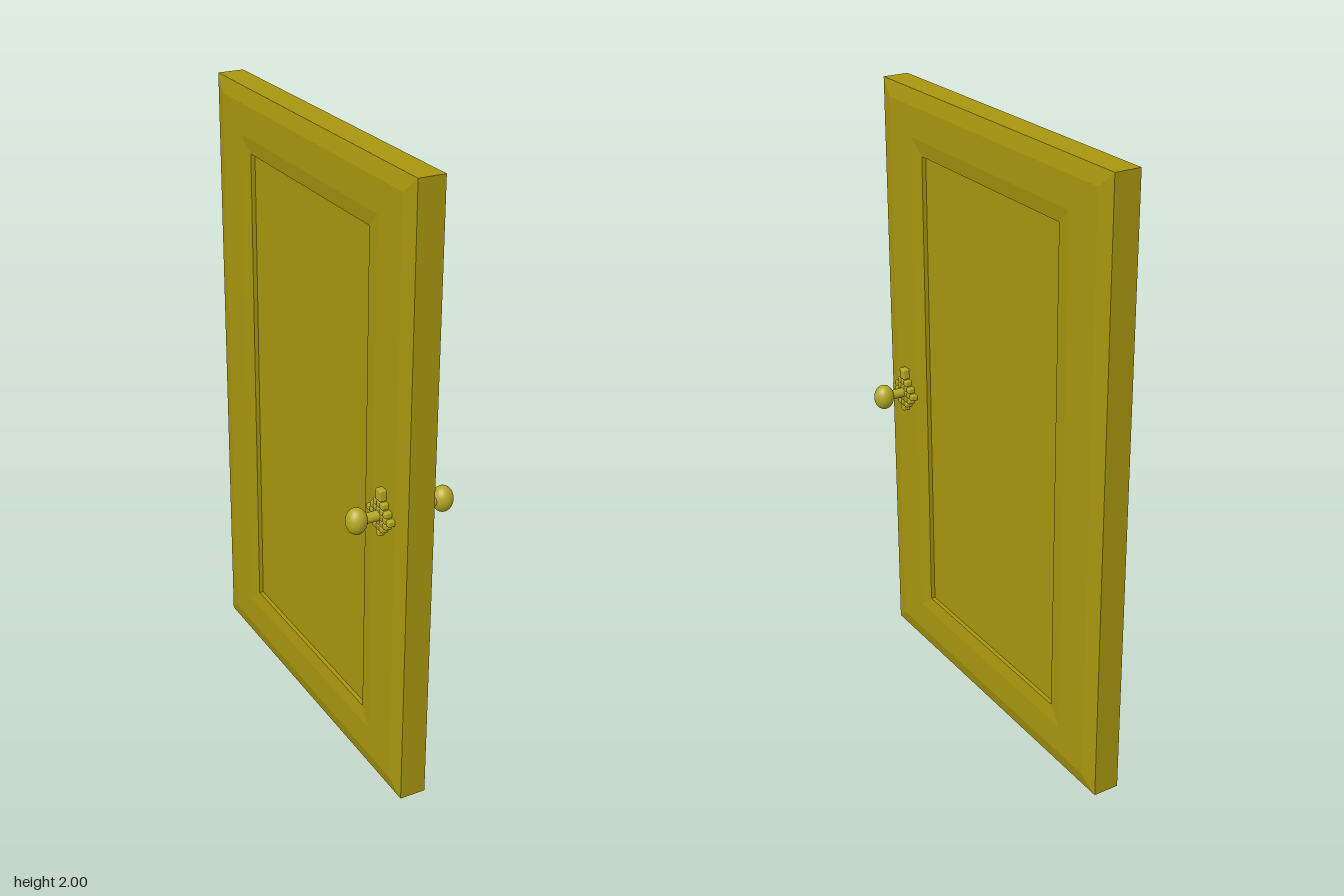
import * as THREE from 'three';
import { RoundedBoxGeometry } from 'three/addons/geometries/RoundedBoxGeometry.js';

const wood = new THREE.MeshStandardMaterial({ color: 0xa8960f });
const metal = new THREE.MeshStandardMaterial({ color: 0xb5a824 });

// Closed skin through rectangular loops [half depth z, half height y, x]
function loftLoops(loops) {
  const pos = [];
  const corners = [[1, 1], [1, -1], [-1, -1], [-1, 1]];
  const pt = (k, i) => {
    const [hz, hy, x] = loops[k], [sz, sy] = corners[i % 4];
    return [x, 1 + sy * hy, sz * hz];
  };
  const quad = (a, b, c, d) => pos.push(...a, ...b, ...c, ...a, ...c, ...d);
  const last = loops.length - 1;
  quad(pt(0, 0), pt(0, 1), pt(0, 2), pt(0, 3));
  for (let k = 0; k < last; k++) {
    for (let i = 0; i < 4; i++) quad(pt(k, i), pt(k + 1, i), pt(k + 1, i + 1), pt(k, i + 1));
  }
  quad(pt(last, 3), pt(last, 2), pt(last, 1), pt(last, 0));
  const g = new THREE.BufferGeometry();
  g.setAttribute('position', new THREE.Float32BufferAttribute(pos, 3));
  g.computeVertexNormals();
  return g;
}

// Knob, stem and stepped rosette, pointing along +x from the door face
function createHandle() {
  const handle = new THREE.Group();
  const add = (name, geometry, x, y = 0, z = 0) => {
    const mesh = new THREE.Mesh(geometry, metal);
    mesh.name = name;
    mesh.position.set(x, y, z);
    handle.add(mesh);
    return mesh;
  };
  add('knob', new THREE.SphereGeometry(0.033, 32, 20), 0.145).scale.y = 1.27;
  add('stem', new THREE.CylinderGeometry(0.016, 0.016, 0.085, 20).rotateZ(Math.PI / 2), 0.0875);

  // Diamond of small rounded tiles; the top one is taller
  const pitch = 0.019;
  const tile = new RoundedBoxGeometry(0.03, pitch, pitch, 2, 0.004);
  const topTile = new RoundedBoxGeometry(0.03, 0.036, 0.03, 2, 0.004);
  for (let row = -3; row <= 3; row++) {
    const reach = 3 - Math.abs(row);
    for (let col = -reach; col <= reach; col++) {
      if (row === 3) add('rosetteTop', topTile, 0.061, 0.067);
      else add('rosetteTile', tile, 0.061, row * pitch, col * pitch);
    }
  }
  return handle;
}

export function createModel() {
  const model = new THREE.Group();
  model.name = 'door';

  // Door leaf: recessed panel, sloped moulding, flat frame, chamfered rim
  const side = [
    [0.375, 0.8, 0.034],
    [0.375, 0.8, 0.048],
    [0.43, 0.85, 0.055],
    [0.56, 0.95, 0.055],
    [0.615, 1, 0.043],
  ];
  const otherSide = side.map(([z, y, x]) => [z, y, -x]).reverse();
  const leaf = new THREE.Mesh(loftLoops([...side, ...otherSide]), wood);
  leaf.name = 'doorLeaf';
  model.add(leaf);

  // A handle on each face
  for (const s of [1, -1]) {
    const handle = createHandle();
    handle.name = s > 0 ? 'leftHandle' : 'rightHandle';
    handle.position.set(0, 0.96, 0.495);
    if (s < 0) handle.rotation.y = Math.PI;
    model.add(handle);
  }
  return model;
}
